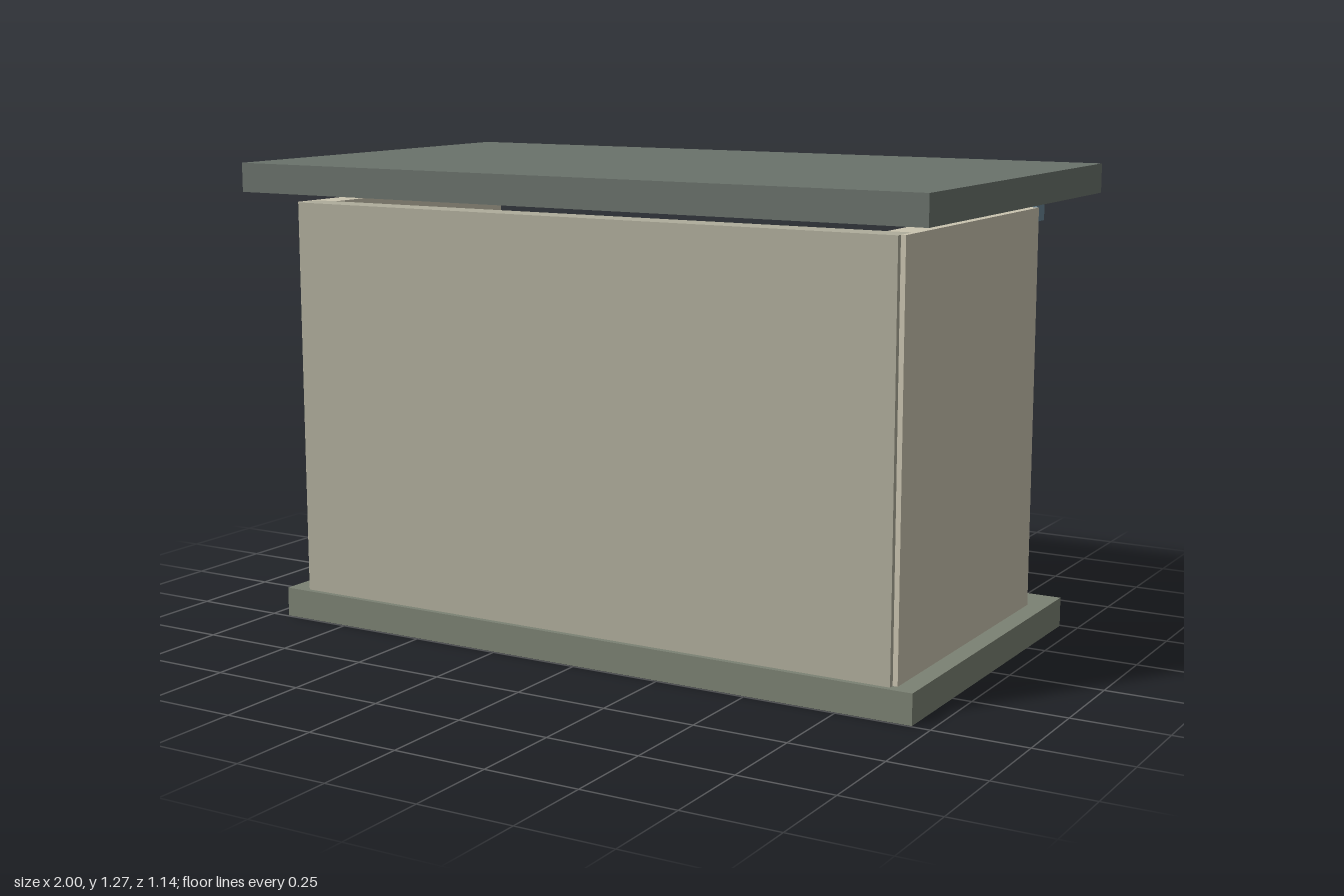
import * as THREE from 'three';

const COLORS = {
  base: 0x7b8173, roof: 0x6a726b, sideWall: 0xcac4b0, frontWall: 0xafad9b,
  beam: 0x688494, seat: 0x8e6b50, backrest: 0x9f8d76, leg: 0x3d4d4a,
  post: 0x45606e, blue: 0x6583a0, green: 0x4c6640,
};

function material(color) {
  return new THREE.MeshStandardMaterial({ color: COLORS[color] });
}

// Box given by its min and max extents on each axis
function box(parent, name, color, [x0, x1], [y0, y1], [z0, z1]) {
  const mesh = new THREE.Mesh(new THREE.BoxGeometry(x1 - x0, y1 - y0, z1 - z0), material(color));
  mesh.position.set((x0 + x1) / 2, (y0 + y1) / 2, (z0 + z1) / 2);
  mesh.name = name;
  parent.add(mesh);
}

// Thin cut-out panel lying on the inner face of the long wall
function panel(parent, name, color, outline, hole) {
  const toPoints = (list) => list.map(([x, y]) => new THREE.Vector2(x, y));
  const shape = new THREE.Shape(toPoints(outline));
  if (hole) shape.holes.push(new THREE.Path(toPoints(hole)));
  const geometry = new THREE.ExtrudeGeometry(shape, { depth: 0.012, bevelEnabled: false });
  const mesh = new THREE.Mesh(geometry, material(color));
  mesh.position.z = 0.391;
  mesh.name = name;
  parent.add(mesh);
}

export function createModel() {
  const shelter = new THREE.Group();
  shelter.name = 'shelter';

  // Slab, walls and roof; the -z side is open
  box(shelter, 'baseSlab', 'base', [-0.95, 0.95], [0, 0.08], [-0.495, 0.495]);
  box(shelter, 'longWall', 'frontWall', [-0.885, 0.885], [0.08, 1.158], [0.4, 0.48]);
  box(shelter, 'leftWall', 'sideWall', [0.82, 0.898], [0.08, 1.158], [-0.38, 0.465]);
  box(shelter, 'rightWall', 'sideWall', [-0.898, -0.82], [0.08, 1.158], [-0.38, 0.465]);
  box(shelter, 'roof', 'roof', [-1, 1], [1.188, 1.266], [-0.57, 0.57]);
  box(shelter, 'roofBeam', 'beam', [-0.88, 0.88], [1.117, 1.188], [-0.468, -0.412]);

  // Bench along the long wall
  const bench = new THREE.Group();
  bench.name = 'bench';
  shelter.add(bench);
  box(bench, 'seat', 'seat', [-0.625, 0.625], [0.29, 0.355], [0.14, 0.36]);
  box(bench, 'backrest', 'backrest', [-0.625, 0.625], [0.413, 0.571], [0.355, 0.385]);
  for (const x of [-0.468, 0.468]) {
    box(bench, 'benchLeg', 'leg', [x - 0.034, x + 0.034], [0.08, 0.29], [0.2, 0.3]);
  }

  // Wall posts above the backrest
  for (const x of [-0.56, 0, 0.56]) {
    box(shelter, 'wallPost', 'post', [x - 0.013, x + 0.013], [0.5, 1.02], [0.383, 0.41]);
  }

  // Coloured wall panels
  panel(shelter, 'bluePanel', 'blue',
    [[0.09, 1.07], [0, 0.87], [-0.08, 0.68], [0.05, 0.57], [0.17, 0.64], [0.26, 0.87]],
    [[0.16, 0.94], [0.11, 0.9], [0.11, 0.85], [0.17, 0.8], [0.2, 0.87]]);
  const leaf = [[0.29, 0.89], [0.43, 1.065], [0.56, 0.89], [0.68, 0.68]];
  for (const side of [-1, 1]) {
    panel(shelter, 'greenPanel', 'green', leaf.map(([x, y]) => [x * side, y]));
  }
  return shelter;
}
